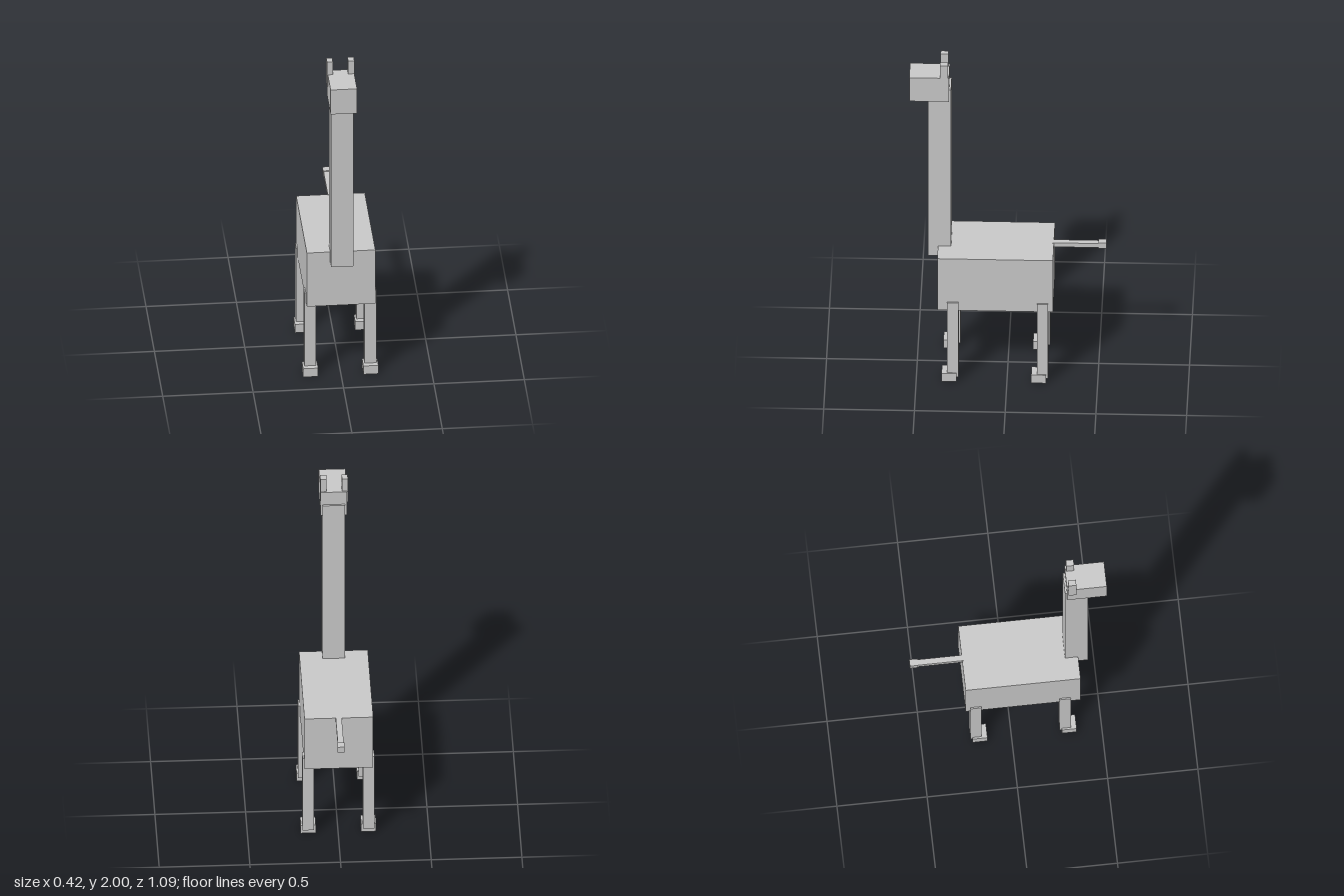
import * as THREE from 'three';

const material = new THREE.MeshStandardMaterial({ color: 0xcccccc, flatShading: true });

// Box given by its [min, max] extent on each axis
function block(name, [x0, x1], [y0, y1], [z0, z1]) {
  const mesh = new THREE.Mesh(new THREE.BoxGeometry(x1 - x0, y1 - y0, z1 - z0), material);
  mesh.name = name;
  mesh.position.set((x0 + x1) / 2, (y0 + y1) / 2, (z0 + z1) / 2);
  return mesh;
}

export function createModel() {
  const model = new THREE.Group();
  model.name = 'giraffe';

  // Trunk and long neck
  model.add(block('body', [-0.192, 0.187], [0.46, 0.8], [-0.253, 0.384]));
  model.add(block('neck', [-0.063, 0.06], [0.735, 1.835], [0.312, 0.44]));

  // Head with two horns at the back
  model.add(block('head', [-0.075, 0.071], [1.763, 1.918], [0.323, 0.542]));
  model.add(block('rightHorn', [-0.08, -0.047], [1.845, 2], [0.33, 0.373]));
  model.add(block('leftHorn', [0.037, 0.072], [1.845, 2], [0.33, 0.373]));

  // Legs, each with a hoof set slightly forward
  for (const [end, z] of [['front', 0.298], ['back', -0.196]]) {
    for (const [side, x] of [['Right', -0.168], ['Left', 0.165]]) {
      const leg = new THREE.Group();
      leg.name = `${end}${side}Leg`;
      leg.add(block('shank', [x - 0.032, x + 0.032], [0.027, 0.515], [z - 0.031, z + 0.031]));
      leg.add(block('hoof', [x - 0.042, x + 0.041], [0, 0.053], [z - 0.02, z + 0.062]));
      model.add(leg);
    }
  }

  // Straight tail with a tuft
  model.add(block('tail', [-0.018, 0.015], [0.777, 0.804], [-0.51, -0.245]));
  model.add(block('tailTuft', [-0.021, 0.018], [0.774, 0.81], [-0.543, -0.498]));

  return model;
}
